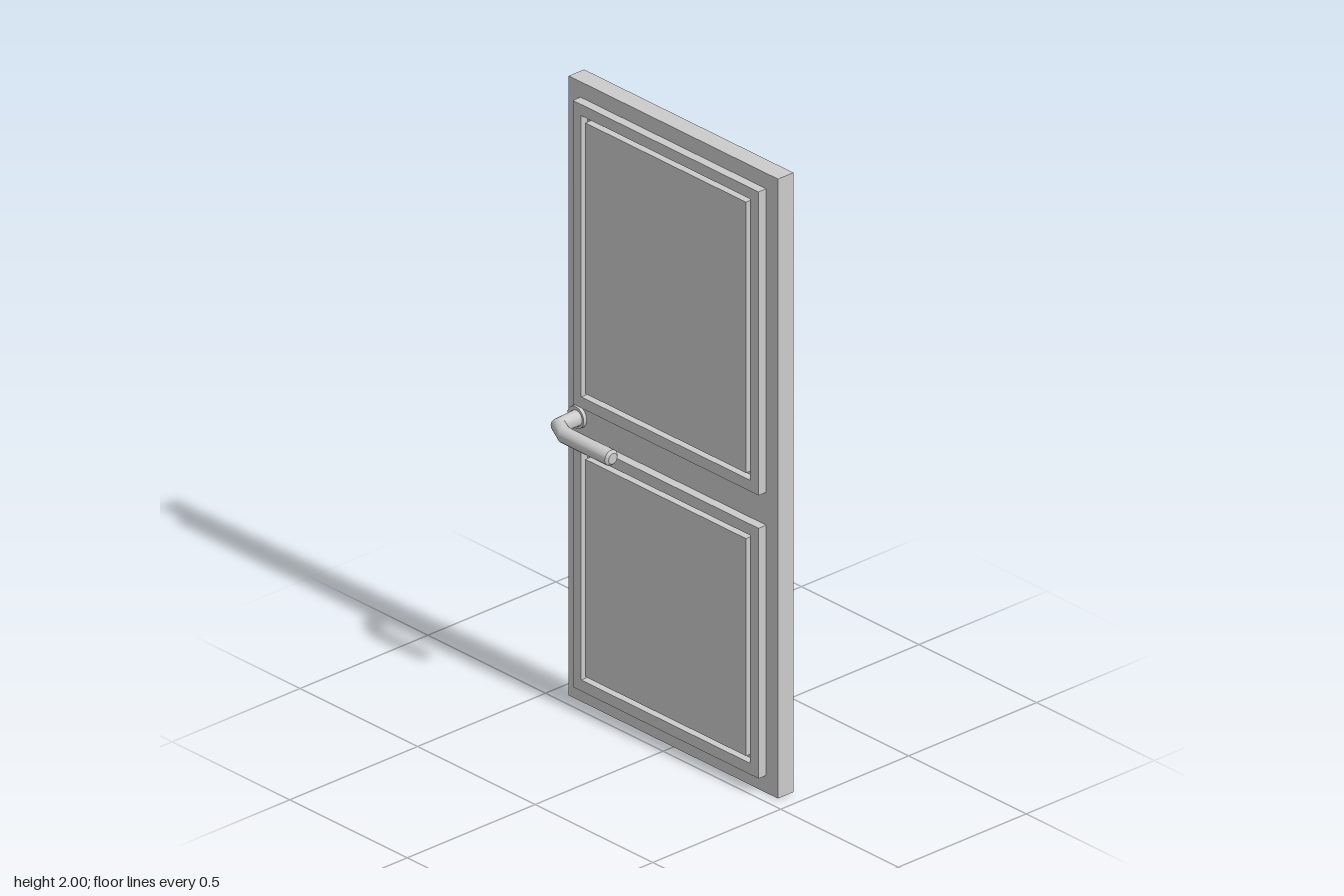
import * as THREE from 'three';
import { toCreasedNormals } from 'three/addons/utils/BufferGeometryUtils.js';

const FACE = -0.04, BACK = -0.1, RAISED = -0.01, GROOVE = -0.035;
const material = new THREE.MeshStandardMaterial({ color: 0xcccccc, side: THREE.DoubleSide });

function addMesh(parent, name, geometry) {
  const mesh = new THREE.Mesh(geometry, material);
  mesh.name = name;
  parent.add(mesh);
  return mesh;
}

// Joins closed rings of points with quads; each face keeps its own corners
function loft(rings, { skip = -1, capEnd = false } = {}) {
  const pos = [];
  const tri = (a, b, c) => pos.push(...a, ...b, ...c);
  const n = rings[0].length;
  for (let i = 0; i < rings.length - 1; i++) {
    for (let k = 0; k < n; k++) {
      if (k === skip) continue;
      const m = (k + 1) % n;
      const [a, b, c, d] = [rings[i][k], rings[i][m], rings[i + 1][m], rings[i + 1][k]];
      tri(a, b, c);
      tri(a, c, d);
    }
  }
  if (capEnd) {
    const last = rings[rings.length - 1];
    for (let k = 1; k < n - 1; k++) tri(last[0], last[k], last[k + 1]);
  }
  const geometry = new THREE.BufferGeometry();
  geometry.setAttribute('position', new THREE.Float32BufferAttribute(pos, 3));
  geometry.computeVertexNormals();
  return geometry;
}

// Rectangle ring, anticlockwise from the front, starting along the bottom edge
function rect(halfWidth, bottom, top, z, inset = 0) {
  const w = halfWidth - inset, b = bottom + inset, t = top - inset;
  return [[-w, b, z], [w, b, z], [w, t, z], [-w, t, z]];
}

export function createModel() {
  const group = new THREE.Group();
  group.name = 'door';
  const W = 0.445, PW = 0.395;
  const panels = [
    { name: 'lowerPanel', bottom: 0.056, top: 0.864 },
    { name: 'upperPanel', bottom: 0.97, top: 1.95 },
  ];

  // Front sheet with an opening behind each raised panel
  const sheet = new THREE.Shape(rect(W, 0, 2, 0).map(([x, y]) => new THREE.Vector2(x, y)));
  for (const p of panels) {
    sheet.holes.push(new THREE.Path(
      rect(PW, p.bottom, p.top, 0).map(([x, y]) => new THREE.Vector2(x, y))));
  }
  addMesh(group, 'doorFace', new THREE.ShapeGeometry(sheet)).position.z = FACE;

  // Side and top edges; the back and bottom are open
  addMesh(group, 'doorEdges', loft([rect(W, 0, 2, BACK), rect(W, 0, 2, FACE)], { skip: 0 }));

  // Pressed panels: raised border, narrow groove, raised field
  for (const { name, bottom, top } of panels) {
    const steps = [[0, FACE], [0, RAISED], [0.036, RAISED], [0.036, GROOVE], [0.053, GROOVE], [0.053, RAISED]];
    addMesh(group, name, loft(
      steps.map(([inset, z]) => rect(PW, bottom, top, z, inset)), { capEnd: true }));
  }

  // Handle
  const handle = new THREE.Group();
  handle.name = 'handle';
  handle.position.y = 0.917;
  group.add(handle);

  const plate = new THREE.CylinderGeometry(0.035, 0.035, 0.012, 24).rotateX(Math.PI / 2);
  addMesh(handle, 'handlePlate', plate).position.set(-0.403, 0, FACE + 0.006);

  // Bent lever: each section is outer x, outer z, inner x, inner z, half height
  const sections = [
    [-0.425, -0.04, -0.375, -0.04, 0.025],
    [-0.415, 0.058, -0.375, 0.03, 0.025],
    [-0.345, 0.095, -0.341, 0.045, 0.025],
    [-0.145, 0.095, -0.145, 0.045, 0.025],
    [-0.137, 0.087, -0.137, 0.053, 0.017],
  ];
  const SIDES = 20;
  const rings = sections.map(([ox, oz, ix, iz, h]) =>
    Array.from({ length: SIDES }, (_, k) => {
      const a = (k / SIDES) * Math.PI * 2, c = Math.cos(a) / 2;
      return [(ox + ix) / 2 + (ox - ix) * c, h * Math.sin(a), (oz + iz) / 2 + (oz - iz) * c];
    }).reverse());
  addMesh(handle, 'lever', toCreasedNormals(loft(rings, { capEnd: true }), 0.5));

  return group;
}
